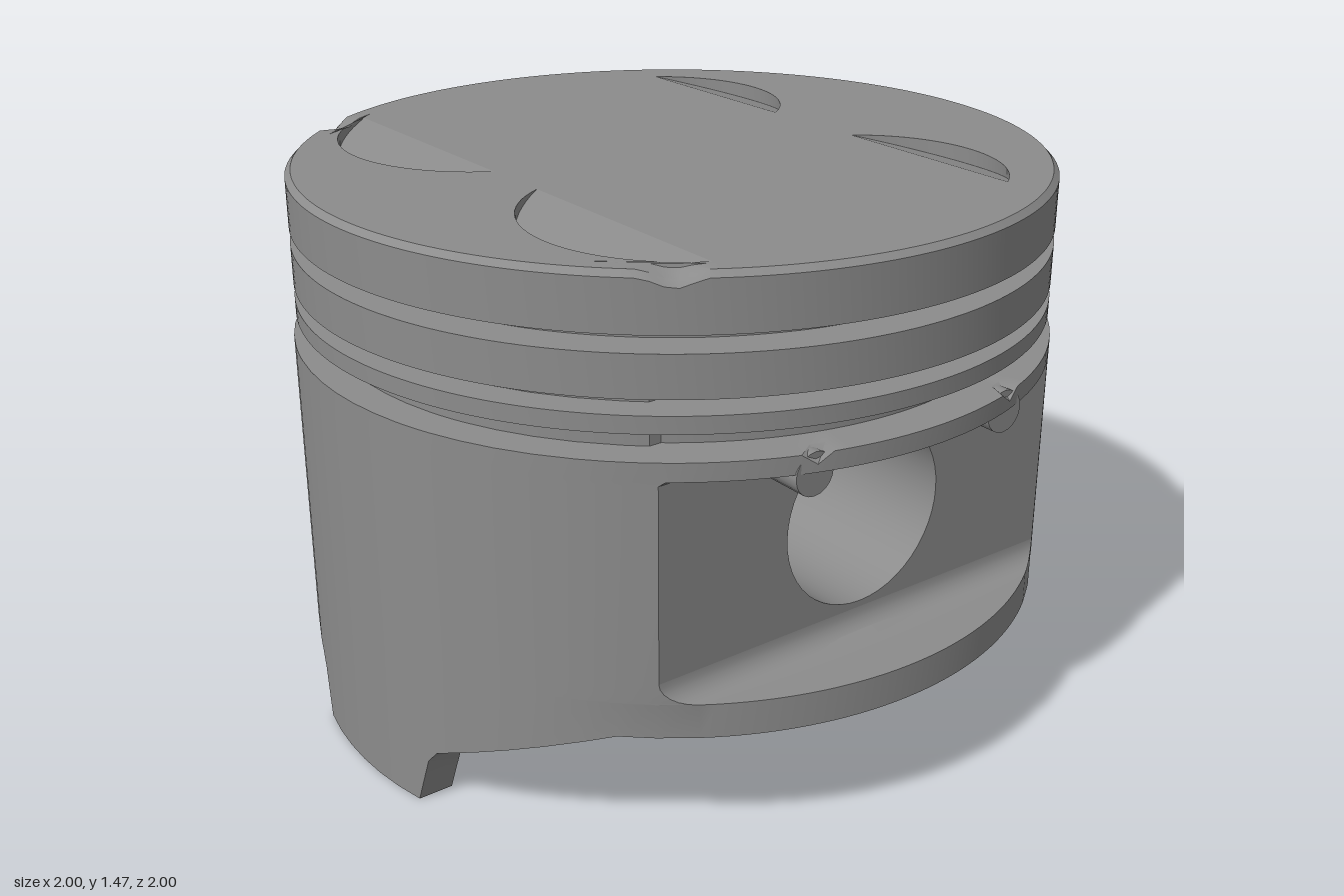
import * as THREE from 'three';
import { toCreasedNormals } from 'three/addons/utils/BufferGeometryUtils.js';

const TOP = 1.473, PIN_Y = 0.7345, PIN_R = 0.2425;
const SEG = 192, COLS = 32;

export function createModel() {
  const group = new THREE.Group();
  const metal = new THREE.MeshStandardMaterial({ color: 0x8c8c8c, side: THREE.DoubleSide });
  metal.name = 'castGrey';

  function add(name, geometry, crease = 0.6) {
    const mesh = new THREE.Mesh(toCreasedNormals(geometry, crease), metal);
    mesh.name = name;
    group.add(mesh);
    return mesh;
  }
  function meshData(points, index) {
    const g = new THREE.BufferGeometry();
    g.setAttribute('position', new THREE.Float32BufferAttribute(points.flat(), 3));
    g.setIndex(index);
    return g;
  }

  // Small notches in the crown rim beside the two larger valve pockets
  const dip = (x, z) => 0.028 * Math.max(0, 1 - Math.hypot(x + 0.58, Math.abs(z) - 0.79) / 0.07);
  function notchRim(g) {
    const p = g.attributes.position;
    for (let i = 0; i < p.count; i++) {
      if (p.getY(i) > 1.44) p.setY(i, p.getY(i) - dip(p.getX(i), p.getZ(i)));
    }
    return g;
  }

  // Ring lands and grooves
  const land = [
    [0.89, 1.03], [0.89, 1.10], [0.99, 1.10], [0.99, 1.144], [0.89, 1.144], [0.89, 1.182],
    [0.99, 1.182], [0.99, 1.288], [0.89, 1.288], [0.89, 1.33], [0.99, 1.33], [0.99, 1.458],
    [0.975, TOP], [0.935, TOP],
  ].map(([r, y]) => new THREE.Vector2(r, y));
  add('ringLands', notchRim(new THREE.LatheGeometry(land, SEG)));

  // Crown top with four sloped valve pockets
  const crown = new THREE.Shape();
  for (let i = 0; i < SEG; i++) {
    const a = (i / SEG) * Math.PI * 2;
    const x = 0.935 * Math.cos(a), y = 0.935 * Math.sin(a);
    if (i) crown.lineTo(x, y); else crown.moveTo(x, y);
  }
  const floorY = (x) => TOP - 0.27 * (Math.abs(x) - 0.48);
  for (const [side, cx, r] of [[-1, 0.30, 0.389], [1, 0.285, 0.346]]) {
    for (const cz of [-0.445, 0.445]) {
      const half = Math.acos((0.48 - cx) / r), n = 28;
      const arc = [];
      for (let i = 0; i <= n; i++) {
        const t = -half + (2 * half * i) / n;
        arc.push(new THREE.Vector2(side * (cx + r * Math.cos(t)), -cz + r * Math.sin(t)));
      }
      crown.holes.push(new THREE.Path(arc));
      const floor = new THREE.ShapeGeometry(new THREE.Shape(arc)).rotateX(-Math.PI / 2);
      const p = floor.attributes.position;
      for (let i = 0; i < p.count; i++) p.setY(i, floorY(p.getX(i)));
      add('valvePocketFloor', floor);
      const pts = [], index = [];
      arc.forEach((v, i) => {
        pts.push([v.x, TOP - dip(v.x, v.y), -v.y], [v.x, floorY(v.x), -v.y]);
        if (i < n) {
          const k = 2 * i;
          if (side > 0) index.push(k, k + 2, k + 1, k + 2, k + 3, k + 1);
          else index.push(k, k + 1, k + 2, k + 2, k + 1, k + 3);
        }
      });
      add('valvePocketWall', meshData(pts, index));
    }
  }
  const top = new THREE.ShapeGeometry(crown).rotateX(-Math.PI / 2).translate(0, TOP, 0);
  add('crownTop', notchRim(top), 0.1);

  // Lower edge of the skirt: long tongues at both sides
  const edge = [[0.24, 0], [0.28, 0.13], [0.31, 0.165], [0.72, 0.33]];
  function bottom(z) {
    z = Math.abs(z);
    if (z <= edge[0][0]) return 0;
    for (let i = 1; i < edge.length; i++) {
      const [z0, y0] = edge[i - 1], [z1, y1] = edge[i];
      if (z <= z1) return y0 + ((y1 - y0) * (z - z0)) / (z1 - z0);
    }
    return 0.33;
  }

  // One closed skirt outline: front, left side, back, right side.
  // A clipped row is cut flat at z = zc, otherwise it stays round.
  const steps = [0.66, 0.58, 0.5, 0.42, 0.34, 0.31, 0.295, 0.28, 0.26, 0.24, 0.16, 0.08];
  function outline({ r, zc, y, clip, notch }) {
    const xc = Math.sqrt(Math.max(0, r * r - zc * zc));
    const side = r === 0 ? steps.map(() => 0) : steps;
    const zs = [zc, (2 * zc + side[0]) / 3, (zc + 2 * side[0]) / 3, ...side];
    const sideZ = [...zs, 0, ...zs.map((z) => -z).reverse()];
    const halfRow = [];
    for (let i = 0; i < COLS; i++) {
      const x = xc * (-1 + (2 * i) / COLS);
      halfRow.push([x, clip ? zc : Math.sqrt(Math.max(0, r * r - x * x))]);
    }
    for (const z of sideZ.slice(0, -1)) halfRow.push([Math.sqrt(Math.max(0, r * r - z * z)), z]);
    const row = [...halfRow, ...halfRow.map(([x, z]) => [-x, -z])];
    return row.map(([x, z]) => {
      let h = y === null ? bottom(z) : y;
      if (notch) h -= 0.03 * Math.max(0, 1 - Math.abs(Math.abs(x) - 0.3) / 0.035);
      return [x, h, z];
    });
  }

  // Rows run from the ceiling down the inside, round the lower edge and up the outside
  const rows = [
    { r: 0, zc: 0, y: 1.2 },
    { r: 0.91, zc: 0.70, y: 1.2, clip: true, open: true },
    { r: 0.91, zc: 0.70, y: 0.46, clip: true },
    { r: 0.91, zc: 0.725, y: 0.40 },
    { r: 0.91, zc: 0.725, y: null },
    { r: 1, zc: 0.84, y: null },
    { r: 1, zc: 0.84, y: 0.42 },
  ];
  for (let i = 0; i <= 6; i++) {
    const t = (i / 6) * Math.PI / 2;
    rows.push({
      r: 1, zc: 0.84 - 0.055 * Math.sin(t), y: 0.475 - 0.055 * Math.cos(t), clip: true, open: i === 6,
    });
  }
  rows.push(
    { r: 1, zc: 0.785, y: 0.98, clip: true },
    { r: 1, zc: 0.795, y: 0.99, clip: true },
    { r: 1, zc: 0.795, y: 0.99 },
    { r: 1, zc: 0.795, y: 1.037, notch: true },
    { r: 0.95, zc: 0.755, y: 1.037 },
    { r: 0.88, zc: 0.70, y: 1.037 },
  );
  const loops = rows.map(outline);
  const width = loops[0].length, index = [];
  for (let i = 0; i < rows.length - 1; i++) {
    for (let j = 0; j < width; j++) {
      if (rows[i].open && j % (width / 2) < COLS) continue; // left for the bored walls
      const k = (j + 1) % width;
      const a = i * width + j, b = i * width + k, c = b + width, d = a + width;
      index.push(a, b, c, a, c, d);
    }
  }
  add('skirt', meshData(loops.flat(), index));

  // Flat walls with the pin hole, outside and inside
  function wall(r, z, y0, y1, inside) {
    const x = Math.sqrt(r * r - z * z);
    const s = new THREE.Shape();
    s.moveTo(-x, y0).lineTo(x, y0).lineTo(x, y1).lineTo(-x, y1);
    s.holes.push(new THREE.Path().absarc(0, PIN_Y, PIN_R, 0, Math.PI * 2, true));
    const g = new THREE.ShapeGeometry(s, 24);
    if (inside) g.rotateY(Math.PI);
    return g.translate(0, 0, z);
  }

  // Pin boss: tube with a rounded inner end
  const bossProfile = [
    [PIN_R, 0.785], [PIN_R, 0.27], [0.29, 0.27], [0.315, 0.277], [0.333, 0.295], [0.34, 0.32], [0.34, 0.78],
  ].map(([r, y]) => new THREE.Vector2(r, y));

  for (const turn of [0, Math.PI]) {
    add('windowWall', wall(1, 0.785, 0.475, 0.98, false).rotateY(turn));
    add('innerWall', wall(0.91, 0.70, 0.46, 1.2, true).rotateY(turn));
    const boss = new THREE.LatheGeometry(bossProfile, 48).rotateX(Math.PI / 2);
    add('pinBoss', boss.translate(0, PIN_Y, 0).rotateY(turn));
    const rib = new THREE.BoxGeometry(0.46, 0.22, 0.4).translate(0, 1.095, 0.52);
    add('bossRib', rib.rotateY(turn));
    // Drain bosses below the shelf
    for (const x of [-0.3, 0.3]) {
      const drain = new THREE.CylinderGeometry(0.055, 0.055, 0.16, 20).rotateX(Math.PI / 2);
      add('drainBoss', drain.translate(x, 0.98, 0.86).rotateY(turn));
    }
  }
  return group;
}
